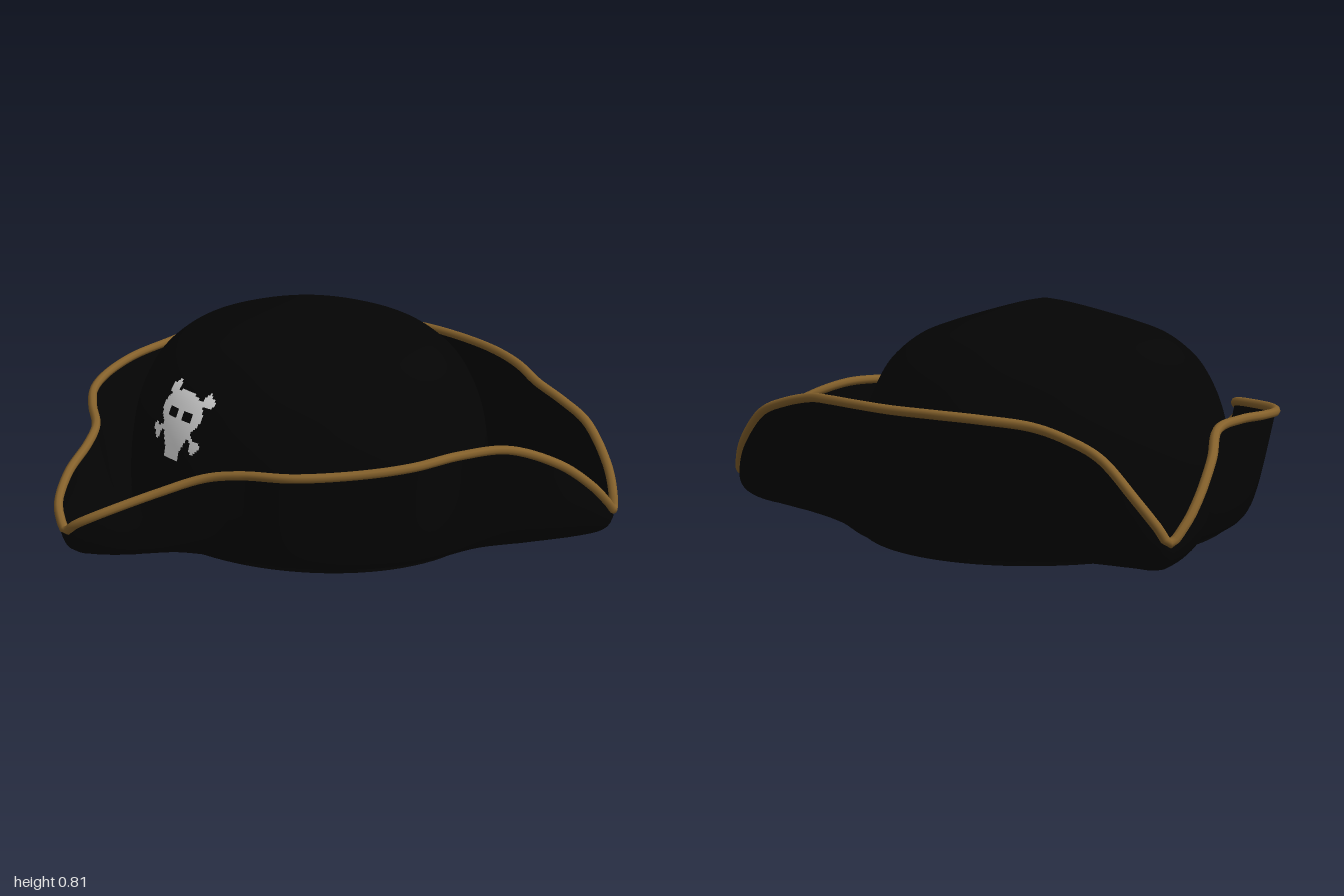
import * as THREE from 'three';
import { mergeVertices } from 'three/addons/utils/BufferGeometryUtils.js';

const CZ = -0.147;        // crown centre
const SZ = 0.96;          // crown is slightly shorter front to back
const TILT = 0.043;       // the opening rises toward the front
const BASE_R = 0.66;

// Crown profile: radius, height
const profile = new THREE.SplineCurve([
  [0.66, 0.03], [0.665, 0.15], [0.655, 0.3], [0.633, 0.42], [0.595, 0.52], [0.54, 0.606],
  [0.45, 0.68], [0.35, 0.722], [0.2, 0.768], [0.08, 0.8], [0, 0.815],
].map(p => new THREE.Vector2(...p))).getPoints(60);

// Brim edge: the back half is mirrored, the front half is a little fuller on the right
const backEdge = [
  [0.18, 0.51, -0.9], [0.34, 0.505, -0.86], [0.5, 0.49, -0.798], [0.64, 0.46, -0.785],
  [0.76, 0.415, -0.78], [0.88, 0.3, -0.76], [0.94, 0.22, -0.73], [0.967, 0.172, -0.705], [0.983, 0.22, -0.65],
  [0.981, 0.29, -0.58], [0.94, 0.39, -0.455], [0.85, 0.455, -0.3],
];
const leftFront = [
  [0.792, 0.46, -0.13], [0.752, 0.45, 0.05], [0.67, 0.437, 0.2], [0.53, 0.424, 0.372], [0.37, 0.41, 0.467],
  [0.275, 0.39, 0.54], [0.19, 0.345, 0.675], [0.1, 0.285, 0.855], [0.045, 0.248, 0.905],
];
const rightFront = [
  [0.798, 0.46, -0.1], [0.768, 0.45, 0.08], [0.7, 0.435, 0.25], [0.61, 0.425, 0.37], [0.49, 0.415, 0.46],
  [0.34, 0.402, 0.55], [0.255, 0.38, 0.645], [0.175, 0.335, 0.78], [0.09, 0.28, 0.88], [0.045, 0.248, 0.906],
];
const edge = new THREE.CatmullRomCurve3([
  [0, 0.51, -0.915], ...backEdge, ...leftFront, [0, 0.215, 0.915],
  ...[...backEdge, ...rightFront].reverse().map(([x, y, z]) => [-x, y, z]),
].map(p => new THREE.Vector3(...p)), true, 'centripetal');

// Grid of points [row][column] to a smooth surface
function surface(rows) {
  const w = rows[0].length, index = [];
  for (let i = 0; i < rows.length - 1; i++) {
    for (let j = 0; j < w - 1; j++) {
      const a = i * w + j, b = a + 1, c = a + w, d = c + 1;
      index.push(a, c, b, b, c, d);
    }
  }
  const g = new THREE.BufferGeometry().setFromPoints(rows.flat());
  g.setIndex(index);
  return smooth(g);
}

function smooth(g) {
  g.deleteAttribute('normal');
  g.deleteAttribute('uv');
  const m = mergeVertices(g, 1e-5);
  m.computeVertexNormals();
  return m;
}

// Domed crown, open underneath, with its lower rim tilted
function crownGeometry() {
  const g = new THREE.LatheGeometry(profile, 96);
  const p = g.attributes.position;
  for (let i = 0; i < p.count; i++) {
    const z = p.getZ(i) * SZ, y = p.getY(i);
    const fade = Math.max(0, 1 - (y - 0.03) / 0.3);
    p.setXYZ(i, p.getX(i), y + TILT * z * fade, z + CZ);
  }
  return smooth(g);
}

// Brim: leans outward where it is narrow, runs flat then curls up at the three corners
function brimGeometry() {
  const rows = [];
  const N = 240;
  for (let i = 0; i <= N; i++) {
    const e = edge.getPointAt((i % N) / N);
    const a = Math.atan2(e.x, (e.z - CZ) / SZ);
    const b = new THREE.Vector3(BASE_R * Math.sin(a), 0, CZ + BASE_R * SZ * Math.cos(a));
    b.y = 0.055 + TILT * (b.z - CZ);
    const wide = THREE.MathUtils.smoothstep(Math.hypot(e.x - b.x, e.z - b.z), 0.14, 0.36);
    const p1 = b.clone().lerp(e, 0.5 + 0.25 * wide).setY(b.y - 0.03 * (1 - wide));
    const p2 = b.clone().lerp(e, 0.6 + 0.45 * wide).setY(b.y + 0.2 * (e.y - b.y));
    rows.push(new THREE.CubicBezierCurve3(b, p1, p2, e).getPoints(16));
  }
  return surface(rows);
}

// Point just in front of the crown at a given x and y
function crownFront(x, y) {
  let i = 1;
  while (i < profile.length - 1 && profile[i].y < y) i++;
  const a = profile[i - 1], b = profile[i];
  const r = a.x + (b.x - a.x) * (y - a.y) / (b.y - a.y);
  return new THREE.Vector3(x, y, CZ + SZ * Math.sqrt(r * r - x * x) + 0.006);
}

// Crossed bones: [x, y] of the ends, then the knobs
const bones = [[-0.1, 0.437, 0.11, 0.578], [0.1, 0.427, -0.07, 0.587]];
const knobs = [
  [0.1, 0.583], [0.116, 0.573], [-0.066, 0.592], [-0.084, 0.579],
  [-0.112, 0.443], [-0.096, 0.424], [0.11, 0.432], [0.097, 0.418],
];

// True where the skull and bones are painted
function inEmblem(x, y) {
  const ax = Math.abs(x);
  if (ax > 0.018 && ax < 0.057 && y > 0.495 && y < 0.525) return false;   // eyes
  const cranium = (x / 0.104) ** 2 + ((y - 0.518) / 0.07) ** 2 < 1;
  const jaw = y > 0.36 && y < 0.47 && ax < 0.04 + Math.max(0, y - 0.4) * 0.5;
  const bone = bones.some(([x0, y0, x1, y1]) => {
    const t = (x - x0) / (x1 - x0);
    return t > 0 && t < 1 && Math.abs(y - y0 - t * (y1 - y0)) < 0.012;
  });
  return cranium || jaw || bone || knobs.some(k => Math.hypot(x - k[0], y - k[1]) < 0.016);
}

function emblemGeometry() {
  const s = 0.0075, pts = [];
  for (let i = -18; i < 18; i++) {
    for (let j = 0; j < 36; j++) {
      const x = i * s, y = 0.355 + j * s;
      if (!inEmblem(x + s / 2, y + s / 2)) continue;
      const [a, b, c, d] = [[0, 0], [s, 0], [s, s], [0, s]].map(([u, v]) => crownFront(x + u, y + v));
      pts.push(a, b, c, a, c, d);
    }
  }
  return smooth(new THREE.BufferGeometry().setFromPoints(pts));
}

export function createModel() {
  const black = new THREE.MeshStandardMaterial({ color: 0x040404, side: THREE.DoubleSide });
  black.name = 'black felt';
  const gold = new THREE.MeshStandardMaterial({ color: 0x86622c });
  gold.name = 'gold braid';
  const white = new THREE.MeshStandardMaterial({ color: 0xe6e6e6, side: THREE.DoubleSide });
  white.name = 'white paint';

  const hat = new THREE.Group();
  hat.name = 'tricornHat';
  const add = (name, geometry, material) => {
    const mesh = new THREE.Mesh(geometry, material);
    mesh.name = name;
    hat.add(mesh);
  };
  add('crown', crownGeometry(), black);
  add('brim', brimGeometry(), black);
  add('brimTrim', new THREE.TubeGeometry(edge, 300, 0.016, 8, true), gold);
  add('skullEmblem', emblemGeometry(), white);
  return hat;
}
